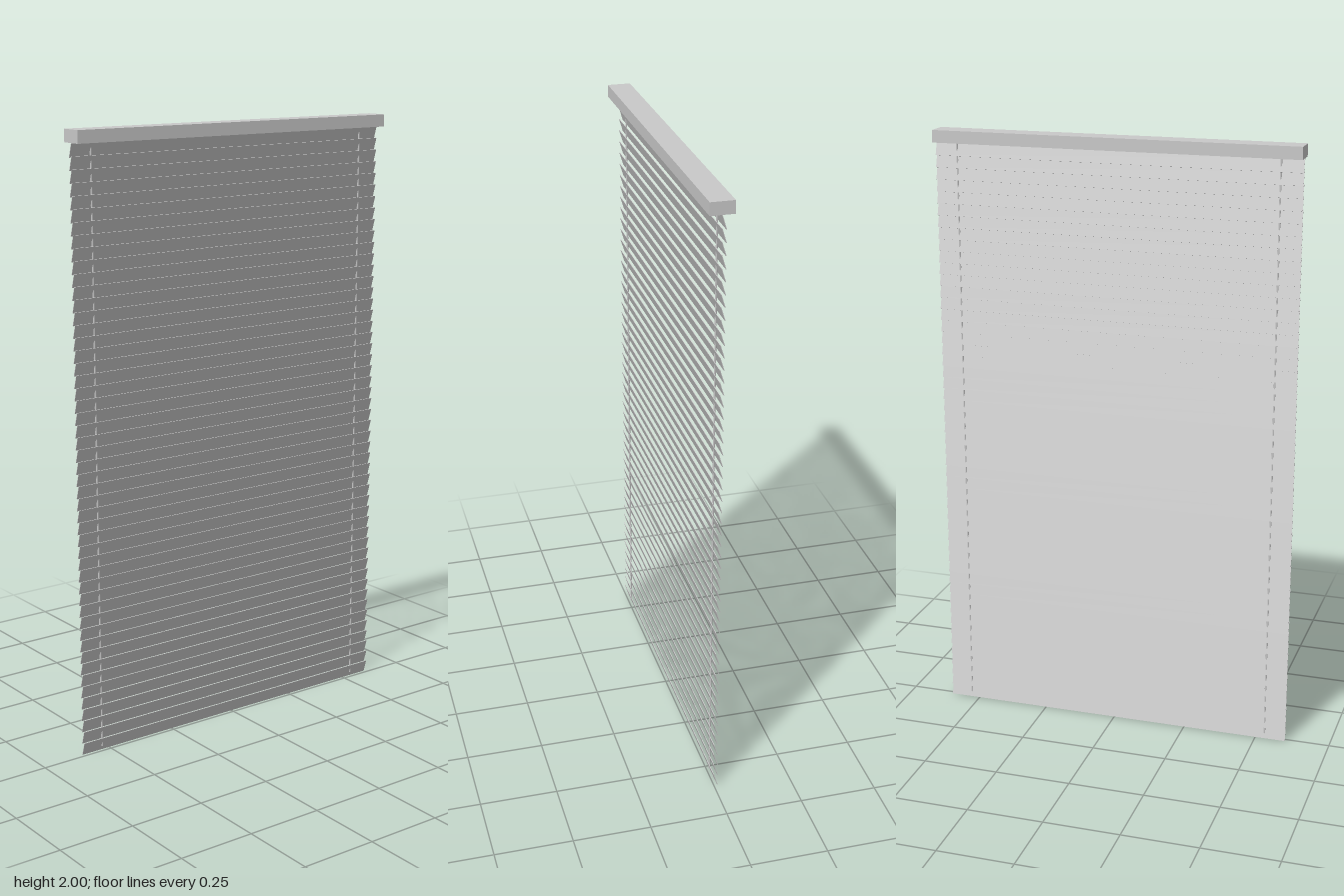
import * as THREE from 'three';

export function createModel() {
  const model = new THREE.Group();
  const grey = new THREE.MeshStandardMaterial({ color: 0xc8c8c8 });
  grey.name = 'blind grey';

  const add = (name, geometry, x, y, z) => {
    const mesh = new THREE.Mesh(geometry, grey);
    mesh.name = name;
    mesh.position.set(x, y, z);
    model.add(mesh);
  };

  // Head rail across the top
  const width = 1.204, railHeight = 0.04, railBottom = 2 - railHeight;
  add('headRail', new THREE.BoxGeometry(width, railHeight, 0.075), 0, 2 - railHeight / 2, 0);

  // Nearly closed thin slats, each with its front edge raised and its back edge lowered
  const count = 50, pitch = 0.0391, rise = 0.043, depth = 0.013;
  const slat = new THREE.BoxGeometry(width, Math.hypot(rise, depth), 0.002);
  slat.rotateX(Math.atan2(depth, rise));
  for (let i = 0; i < count; i++) {
    add('slat', slat, 0, rise / 2 + 0.0005 + i * pitch, -0.006);
  }

  // Ladder cords near both ends
  const cordBottom = 0.015, cordLength = railBottom - cordBottom;
  const cord = new THREE.CylinderGeometry(0.003, 0.003, cordLength, 8);
  for (const side of [-1, 1]) {
    add(side > 0 ? 'leftCord' : 'rightCord', cord, side * 0.53, cordBottom + cordLength / 2, -0.006);
  }

  return model;
}
